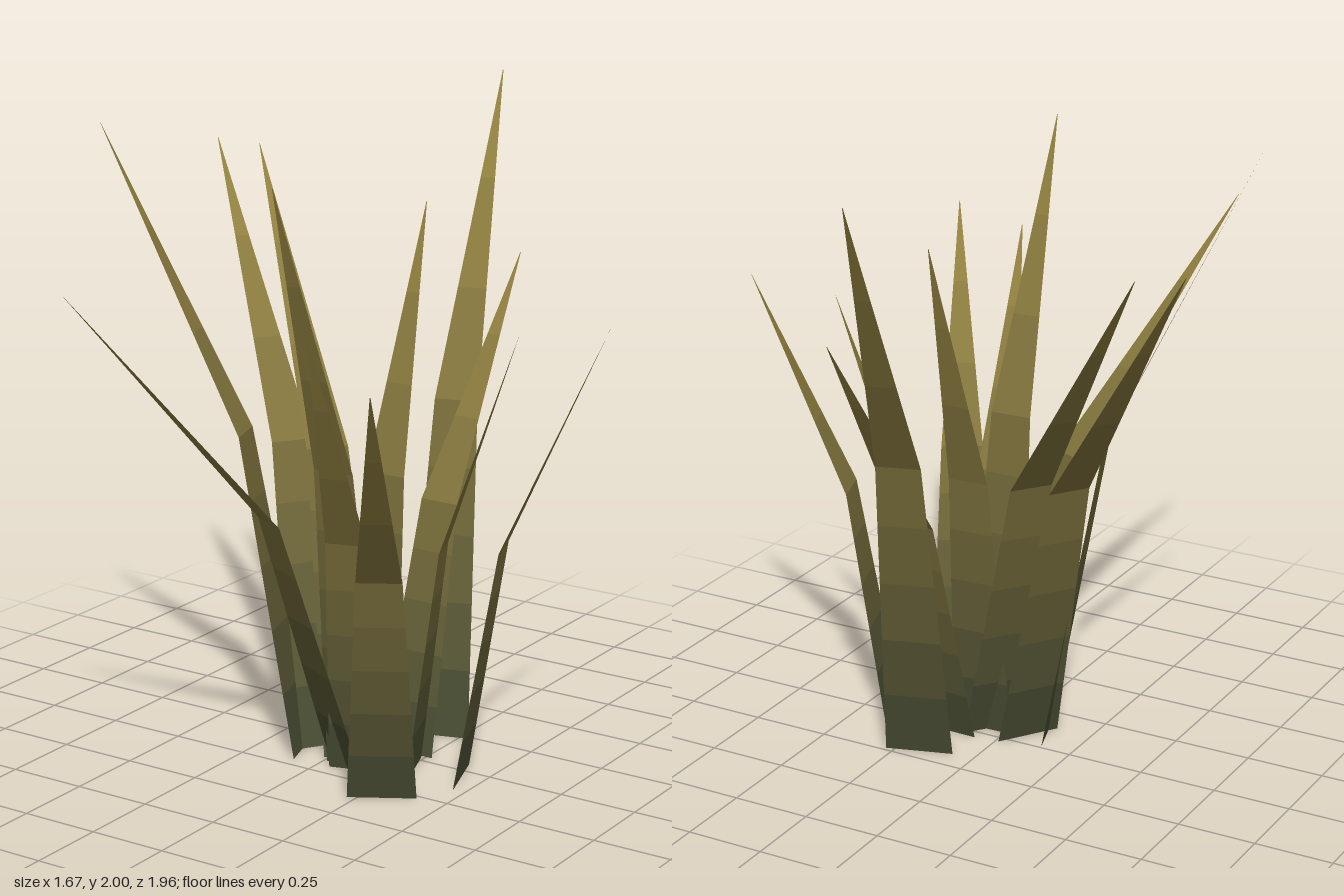
import * as THREE from 'three';

// Each blade: base x, base z, tip x, tip z, height, half width at the base
const BLADES = [
  [0.175, -0.205, -0.065, -0.98, 2.0, 0.107],
  [0.17, -0.035, 0.185, -0.68, 1.48, 0.1],
  [-0.07, 0.06, -0.835, -0.465, 1.78, 0.105],
  [0.05, 0.06, -0.705, -0.515, 1.765, 0.105],
  [-0.115, 0.108, -0.72, 0.295, 1.945, 0.105],
  [0.085, 0.175, -0.335, 0.975, 1.59, 0.105],
  [0.115, 0.16, 0.125, 0.6, 1.88, 0.105],
  [0.138, 0.17, 0.285, 0.665, 1.48, 0.1],
  [0.313, 0.32, 0.68, 0.95, 1.435, 0.105],
  [0.427, 0.05, 0.835, -0.085, 1.435, 0.11],
  [0.275, 0.08, 0.565, -0.025, 1.39, 0.108],
  [0.08, 0.035, 0.065, -0.31, 1.69, 0.102],
];

const BEND_OUT = 0.286; // how far out the bend lies between base and tip
const BEND_UP = 0.52; // height of the bend
const BEND_WIDTH = 0.65; // width at the bend

// Colour bands from the dark foot, over the bend, to the dry tip
const STEM_BANDS = 5;
const TIP_BANDS = 3;
const FOOT = new THREE.Color(0x494d33);
const DRY = new THREE.Color(0x91803f);
const BANDS = STEM_BANDS + TIP_BANDS;
const materials = Array.from({ length: BANDS }, (_, i) => new THREE.MeshStandardMaterial({
  color: FOOT.clone().lerp(DRY, i / (BANDS - 1)),
  side: THREE.DoubleSide,
}));

// Thin flat quad between two cross edges
function band([a, b], [c, d], material) {
  const geometry = new THREE.BufferGeometry().setFromPoints([a, b, d, a, d, c]);
  geometry.computeVertexNormals();
  return new THREE.Mesh(geometry, material);
}

// Cross edge part way between two others
const between = (e, f, t) => e.map((p, i) => p.clone().lerp(f[i], t));

function makeBlade([bx, bz, tx, tz, height, half]) {
  const base = new THREE.Vector3(bx, 0, bz);
  const tip = new THREE.Vector3(tx, height, tz);
  const bend = base.clone().lerp(tip, BEND_OUT).setY(height * BEND_UP);
  const side = new THREE.Vector3(tz - bz, 0, bx - tx).normalize();
  const edge = (p, w) => [p.clone().addScaledVector(side, -w), p.clone().addScaledVector(side, w)];
  const foot = edge(base, half);
  const middle = edge(bend, half * BEND_WIDTH);
  const point = edge(tip, 0.001);

  const blade = new THREE.Group();
  for (let i = 0; i < BANDS; i++) {
    const isStem = i < STEM_BANDS;
    const [from, to] = isStem ? [foot, middle] : [middle, point];
    const [step, count] = isStem ? [i, STEM_BANDS] : [i - STEM_BANDS, TIP_BANDS];
    const mesh = band(
      between(from, to, step / count),
      between(from, to, (step + 1) / count),
      materials[i]
    );
    mesh.name = isStem ? `stemBand${step + 1}` : `tipBand${step + 1}`;
    blade.add(mesh);
  }
  return blade;
}

export function createModel() {
  const plant = new THREE.Group();
  plant.name = 'grassTuft';
  BLADES.forEach((spec, i) => {
    const blade = makeBlade(spec);
    blade.name = `blade${i + 1}`;
    plant.add(blade);
  });
  return plant;
}
